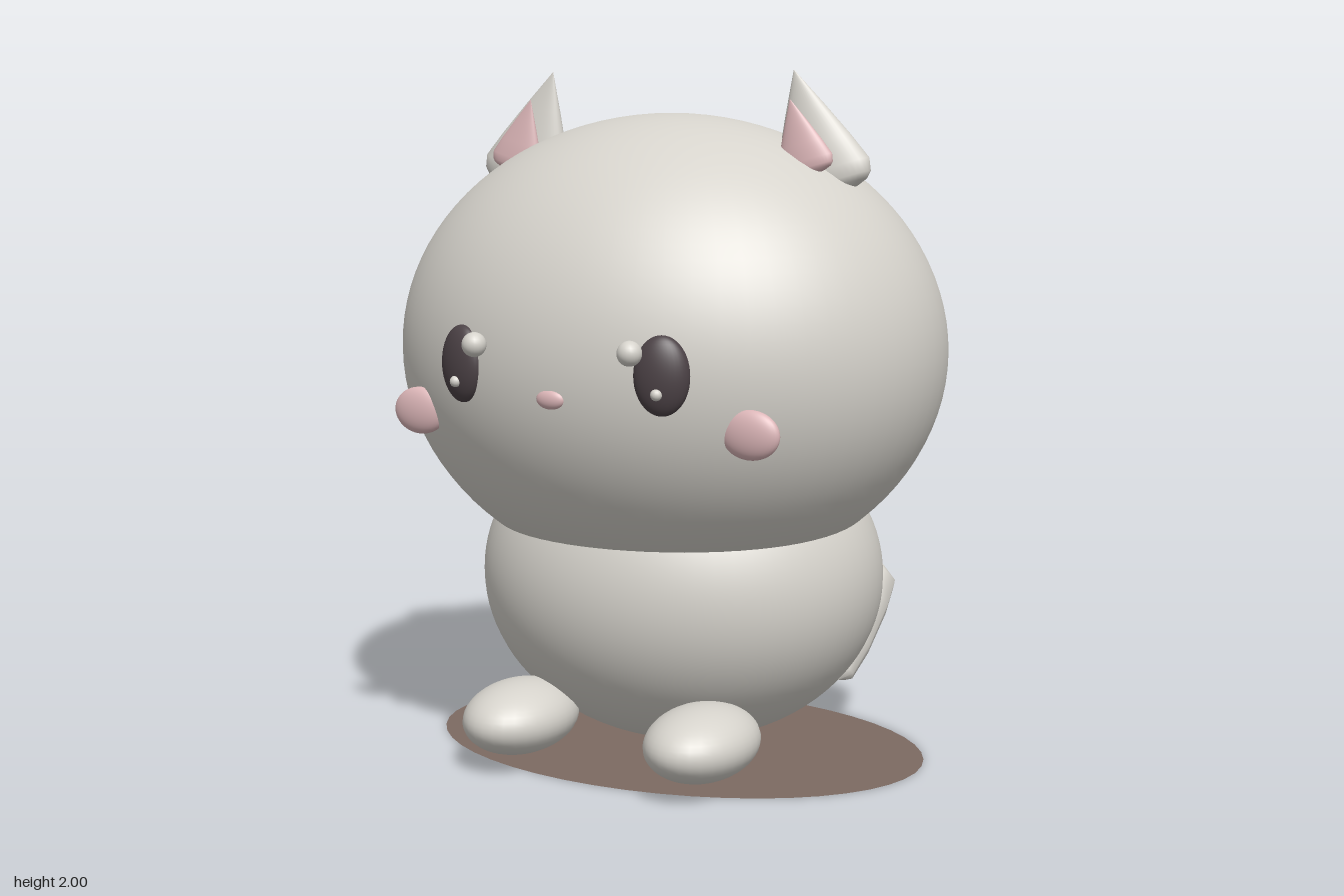
import * as THREE from 'three';

const flat = (name, color, side = THREE.FrontSide) => {
  const m = new THREE.MeshStandardMaterial({ color, side });
  m.name = name;
  return m;
};

export function createModel() {
  const model = new THREE.Group();
  const fur = flat('pale fur', 0xd6d3cc);
  const pink = flat('soft pink', 0xdcb6b8);
  const dark = flat('dark eye', 0x4c4246);
  const brown = flat('brown base', 0x7c6a62, THREE.DoubleSide);

  const add = (name, geometry, material, pos, parent = model) => {
    const mesh = new THREE.Mesh(geometry, material);
    mesh.name = name;
    mesh.position.set(...pos);
    parent.add(mesh);
    return mesh;
  };
  const ellipsoid = (name, material, pos, radii, segments = 32) => {
    const g = new THREE.SphereGeometry(1, segments, segments * 0.75);
    g.scale(...radii);
    return add(name, g, material, pos);
  };
  const lathe = (points, segments) =>
    new THREE.LatheGeometry(points.map(([r, y]) => new THREE.Vector2(r, y)), segments);

  // Head, body and nose
  ellipsoid('head', fur, [0, 1.2, -0.01], [0.82, 0.68, 0.705], 64);
  ellipsoid('body', fur, [0, 0.52, -0.08], [0.61, 0.5, 0.55], 64);
  ellipsoid('nose', pink, [0, 1.125, 0.685], [0.043, 0.027, 0.018]);

  // Ear profile: rounded base, straight flank, sharp tip at the origin
  const earProfile = [[0, -0.38], [0.088, -0.365], [0.125, -0.352], [0.141, -0.335],
    [0.147, -0.299], [0.112, -0.22], [0.06, -0.115], [0, 0]];

  for (const s of [1, -1]) {
    const side = s > 0 ? 'left' : 'right';

    // Ears, leaning towards the middle
    const ear = add(side + 'Ear', lathe(earProfile, 40), fur, [s * 0.391, 2.0, 0]);
    ear.scale.z = 0.43;
    ear.rotation.z = s * 0.3;
    const inner = add(side + 'InnerEar', lathe(earProfile, 40), pink, [s * 0.418, 1.918, 0.085]);
    inner.scale.set(0.57, 0.59, 0.21);
    inner.rotation.z = s * 0.27;

    // Face
    const eye = ellipsoid(side + 'Eye', dark, [s * 0.308, 1.2, 0.635], [0.076, 0.107, 0.04]);
    eye.rotation.y = s * 0.3;
    ellipsoid(side + 'EyeLargeHighlight', fur, [s * 0.239, 1.26, 0.685], [0.034, 0.034, 0.034], 20);
    ellipsoid(side + 'EyeSmallHighlight', fur, [s * 0.31, 1.154, 0.67], [0.016, 0.016, 0.016], 16);
    ellipsoid(side + 'Cheek', pink, [s * 0.517, 1.045, 0.535], [0.085, 0.067, 0.03]);

    // Feet
    ellipsoid(side + 'Foot', fur, [s * 0.295, 0.143, 0.37], [0.152, 0.105, 0.21]);
  }

  // Tail: a tapered spindle rising backwards beside the body
  const start = new THREE.Vector3(0.455, 0.2, -0.215);
  const end = new THREE.Vector3(0.44, 0.5, -0.57);
  const axis = end.clone().sub(start);
  const tail = add('tail', lathe([[0, 0], [0.04, 0.03], [0.062, 0.14],
    [0.075, 0.3], [0.072, 0.39], [0, axis.length()]], 8), fur, start.toArray());
  tail.quaternion.setFromUnitVectors(new THREE.Vector3(0, 1, 0), axis.normalize());

  // Oval base
  const base = add('base', new THREE.CircleGeometry(1, 48), brown, [0, 0.003, -0.055]);
  base.rotation.x = -Math.PI / 2;
  base.scale.set(0.765, 0.525, 1);

  return model;
}
